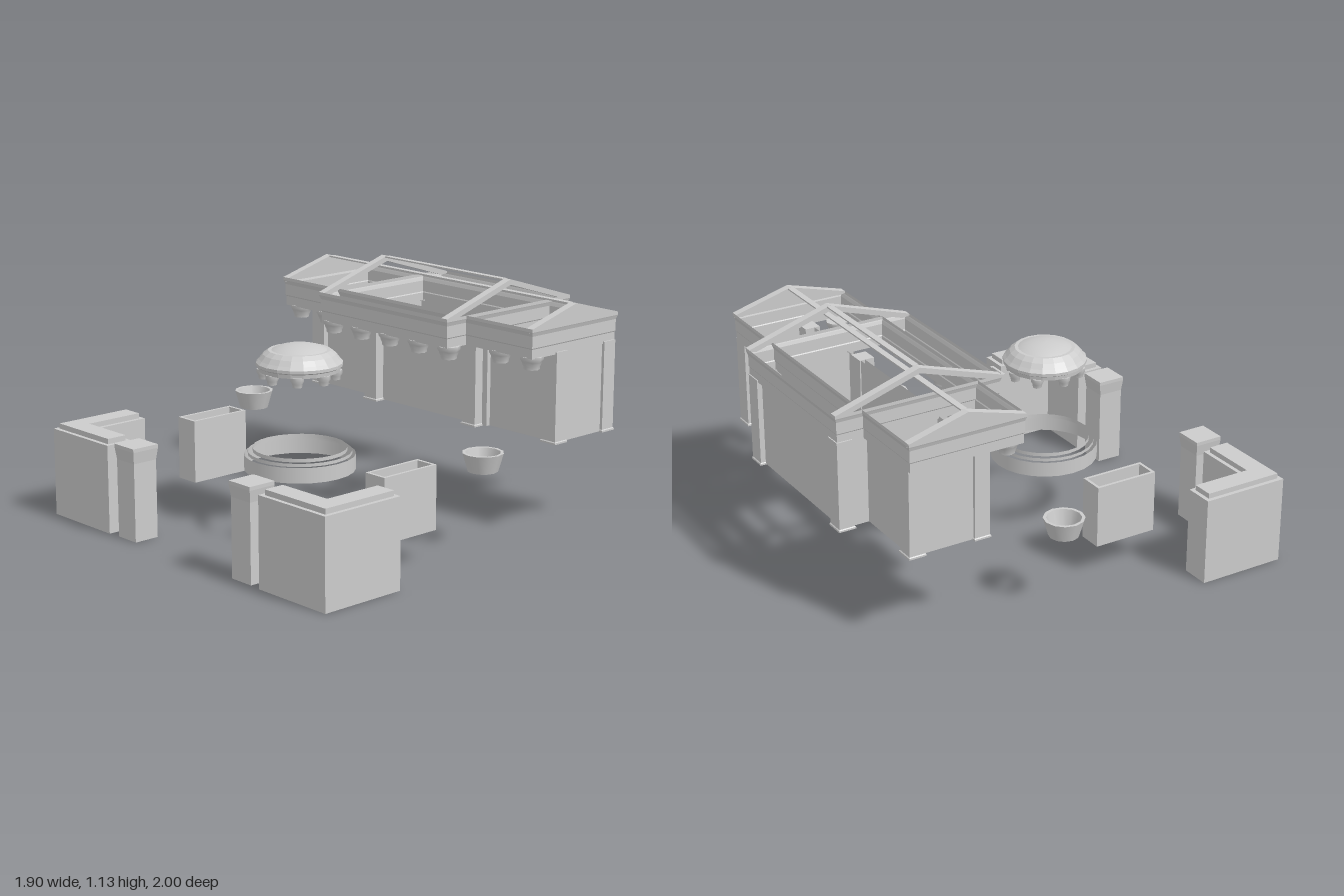
import * as THREE from 'three';

const grey = new THREE.MeshStandardMaterial({ color: 0xcccccc });
const thin = new THREE.MeshStandardMaterial({ color: 0xcccccc, flatShading: true, side: THREE.DoubleSide });
const smoothThin = new THREE.MeshStandardMaterial({ color: 0xcccccc, side: THREE.DoubleSide });

function add(parent, name, geometry, material = grey) {
  const mesh = new THREE.Mesh(geometry, material);
  mesh.name = name;
  parent.add(mesh);
  return mesh;
}

const toShape = pts => new THREE.Shape(pts.map(p => new THREE.Vector2(...p)));
const rect = (x0, x1, z0, z1) => [[x0, z1], [x1, z1], [x1, z0], [x0, z0]];

// Side faces between stacked outlines, each { plan: [[x, z]...], y }
function loft(parent, name, rings) {
  const pos = [];
  for (let i = 0; i < rings.length - 1; i++) {
    const a = rings[i].plan.map(([x, z]) => [x, rings[i].y, z]);
    const b = rings[i + 1].plan.map(([x, z]) => [x, rings[i + 1].y, z]);
    a.forEach((p, k) => {
      const n = (k + 1) % a.length;
      pos.push(...p, ...a[n], ...b[n], ...p, ...b[n], ...b[k]);
    });
  }
  const g = new THREE.BufferGeometry();
  g.setAttribute('position', new THREE.Float32BufferAttribute(pos, 3));
  g.computeVertexNormals();
  add(parent, name, g, thin);
}

// Hollow block without a bottom, with an optional shaft through it
function raise(parent, name, plan, y0, y1, hole) {
  const part = new THREE.Group();
  part.name = name;
  parent.add(part);
  const flip = pts => pts.map(([x, z]) => [x, -z]);
  const top = toShape(flip(plan));
  loft(part, 'sides', [{ plan, y: y0 }, { plan, y: y1 }]);
  if (hole) {
    top.holes.push(toShape(flip(hole)));
    loft(part, 'innerSides', [{ plan: hole, y: y1 }, { plan: hole, y: y0 }]);
  }
  add(part, 'top', new THREE.ShapeGeometry(top).rotateX(-Math.PI / 2).translate(0, y1, 0), thin);
}

// Open rectangular band: each profile entry is [inset, y]
function band(parent, name, r, profile) {
  loft(parent, name, profile.map(([d, y]) => ({ plan: rect(r.x0 + d, r.x1 - d, r.z0 + d, r.z1 - d), y })));
}

function lathe(parent, name, pts, sides, x, z, material) {
  const g = new THREE.LatheGeometry(pts.map(p => new THREE.Vector2(...p)), sides);
  add(parent, name, g, material).position.set(x, 0, z);
}

// Capital with smooth sides and flat ends
function capital(parent, pts, x, z) {
  const part = new THREE.Group();
  part.name = 'columnCapital';
  parent.add(part);
  lathe(part, 'bell', pts, 8, x, z, grey);
  const [r0, y0] = pts[0], [r1, y1] = pts[pts.length - 1];
  lathe(part, 'underside', [[0, y0], [r0, y0]], 8, x, z, grey);
  lathe(part, 'top', [[r1, y1], [0, y1]], 8, x, z, grey);
}

// Gable outline [-z, y] given a thickness along x
function gable(parent, name, outline, x, width) {
  const g = new THREE.ExtrudeGeometry(toShape(outline), { depth: width, bevelEnabled: false });
  add(parent, name, g.rotateY(Math.PI / 2).translate(x, 0, 0));
}

// Entablature, raking gable bars and ridge of one roof block
function roofBlock(parent, name, r, ridgeY, filled) {
  const block = new THREE.Group();
  block.name = name;
  parent.add(block);
  band(block, 'entablature', r, [[0.01, 0.86], [0.01, 0.905], [0.007, 0.91], [0.007, 0.965], [0.002, 0.98], [0, 0.985], [0, 1]]);
  const zm = (r.z0 + r.z1) / 2, t = 0.026, w = 0.038;
  const chevron = [[-r.z1, 0.99], [-r.z1, 1.0], [-zm, ridgeY], [-r.z0, 1.0], [-r.z0, 0.99], [-r.z0 - 0.035, 0.985], [-zm, ridgeY - t], [-r.z1 + 0.035, 0.985]];
  for (const x of [r.x0, r.x1 - w]) {
    gable(block, 'gableRake', chevron, x, w);
    if (filled) gable(block, 'gablePanel', [[-r.z1, 0.98], [-r.z0, 0.98], [-zm, ridgeY - 0.01]], x + w / 2 - 0.003, 0.006);
  }
  const ridge = new THREE.BoxGeometry(r.x1 - r.x0 - 2 * w, 0.007, 0.03);
  add(block, 'ridgeBeam', ridge).position.set((r.x0 + r.x1) / 2, ridgeY - 0.005, zm);
}

function buildHall(root) {
  const hall = new THREE.Group();
  hall.name = 'hall';
  root.add(hall);
  roofBlock(hall, 'wideRoof', { x0: -0.78, x1: 0.896, z0: -0.87, z1: -0.29 }, 1.08, true);
  roofBlock(hall, 'centralRoof', { x0: -0.378, x1: 0.487, z0: -1, z1: -0.166 }, 1.13, false);

  // Thin walls
  band(hall, 'wideWalls', { x0: -0.735, x1: 0.88, z0: -0.838, z1: -0.485 }, [[0, 0.443], [0, 0.87]]);
  band(hall, 'centralWalls', { x0: -0.355, x1: 0.46, z0: -0.97, z1: -0.463 }, [[0, 0.443], [0, 0.87]]);

  // Square pilasters with slightly wider feet
  const spots = [];
  for (const z of [-0.82, -0.495]) spots.push([-0.708, z], [0.852, z]);
  spots.push([-0.333, -0.957], [0.438, -0.957], [-0.282, -0.453], [0.388, -0.453]);
  for (const [x, z] of spots) {
    const square = d => rect(x - 0.042 - d, x + 0.042 + d, z - 0.038 - d, z + 0.038 + d);
    raise(hall, 'pilaster', square(0), 0.452, 0.87);
    loft(hall, 'pilasterFoot', [[0.004, 0.44], [0.004, 0.448], [0, 0.452]].map(([d, y]) => ({ plan: square(d), y })));
  }

  // Hanging column capitals
  const bell = [[0.036, 0.803], [0.038, 0.817], [0.044, 0.83], [0.046, 0.838], [0.054, 0.85], [0.054, 0.864]];
  for (const x of [-0.708, -0.517, 0.652, 0.843]) capital(hall, bell, x, -0.347);
  for (let i = 0; i < 5; i++) capital(hall, bell, -0.33 + i * 0.194, -0.221);
}

function buildRotunda(root) {
  const rotunda = new THREE.Group();
  rotunda.name = 'rotunda';
  rotunda.position.set(0.047, 0, 0.337);
  root.add(rotunda);

  // Open step risers
  for (const [r, y0, y1] of [[0.257, 0.308, 0.38], [0.24, 0.38, 0.395], [0.218, 0.395, 0.412]]) {
    const riser = new THREE.CylinderGeometry(r, r, y1 - y0, 24, 1, true);
    add(rotunda, 'stepRiser', riser, smoothThin).position.y = (y0 + y1) / 2;
  }

  // Domed roof, open below
  lathe(rotunda, 'entablature', [[0.15, 0.772], [0.187, 0.772], [0.189, 0.79], [0.199, 0.796], [0.199, 0.81], [0.185, 0.825], [0.167, 0.848], [0.143, 0.866], [0.127, 0.866]], 20, 0, 0, thin);
  lathe(rotunda, 'dome', [[0.127, 0.866], [0.1, 0.879], [0.065, 0.888], [0.03, 0.893], [0, 0.894]], 20, 0, 0, smoothThin);
  const smallBell = [[0.021, 0.728], [0.024, 0.745], [0.031, 0.757], [0.031, 0.774]];
  for (let i = 0; i < 8; i++) {
    const a = i * Math.PI / 4;
    capital(rotunda, smallBell, 0.164 * Math.cos(a), 0.164 * Math.sin(a));
  }
}

function buildForecourt(root) {
  for (const s of [-1, 1]) {
    // Corner wall with an inset coping
    const corner = d => [[0.95 - d, 1 - d], [0.95 - d, 0.57 + d], [0.81 + d, 0.57 + d], [0.81 + d, 0.86 + d], [0.53 + d, 0.86 + d], [0.53 + d, 1 - d]].map(([x, z]) => [s * x, z]);
    raise(root, 'cornerWall', corner(0), 0, 0.42);
    raise(root, 'cornerWallCoping', corner(0.02), 0.42, 0.445);

    // Gate pillar with flared head
    const square = h => rect(s * 0.405 - h, s * 0.405 + h, 0.93 - h, 0.93 + h);
    loft(root, 'gatePillarShaft', [[0.063, 0], [0.063, 0.37], [0.07, 0.425]].map(([h, y]) => ({ plan: square(h), y })));
    raise(root, 'gatePillarHead', square(0.07), 0.425, 0.442);

    // Bottomless bowl
    lathe(root, 'bowl', [[0.07, 0.367], [0.095, 0.453]], 12, s * 0.788, -0.098, smoothThin);
    lathe(root, 'bowlRim', [[0.095, 0.453], [0.08, 0.453]], 12, s * 0.788, -0.098, thin);
    lathe(root, 'bowlLining', [[0.08, 0.453], [0.058, 0.367]], 12, s * 0.788, -0.098, smoothThin);
  }

  // Open planter boxes
  for (const x of [-0.572, 0.723]) {
    raise(root, 'planter', rect(x - 0.06, x + 0.06, 0.19, 0.505), 0.15, 0.45, rect(x - 0.046, x + 0.046, 0.204, 0.491));
  }
}

export function createModel() {
  const root = new THREE.Group();
  root.name = 'classicalCourtyard';
  buildHall(root);
  buildRotunda(root);
  buildForecourt(root);
  return root;
}
